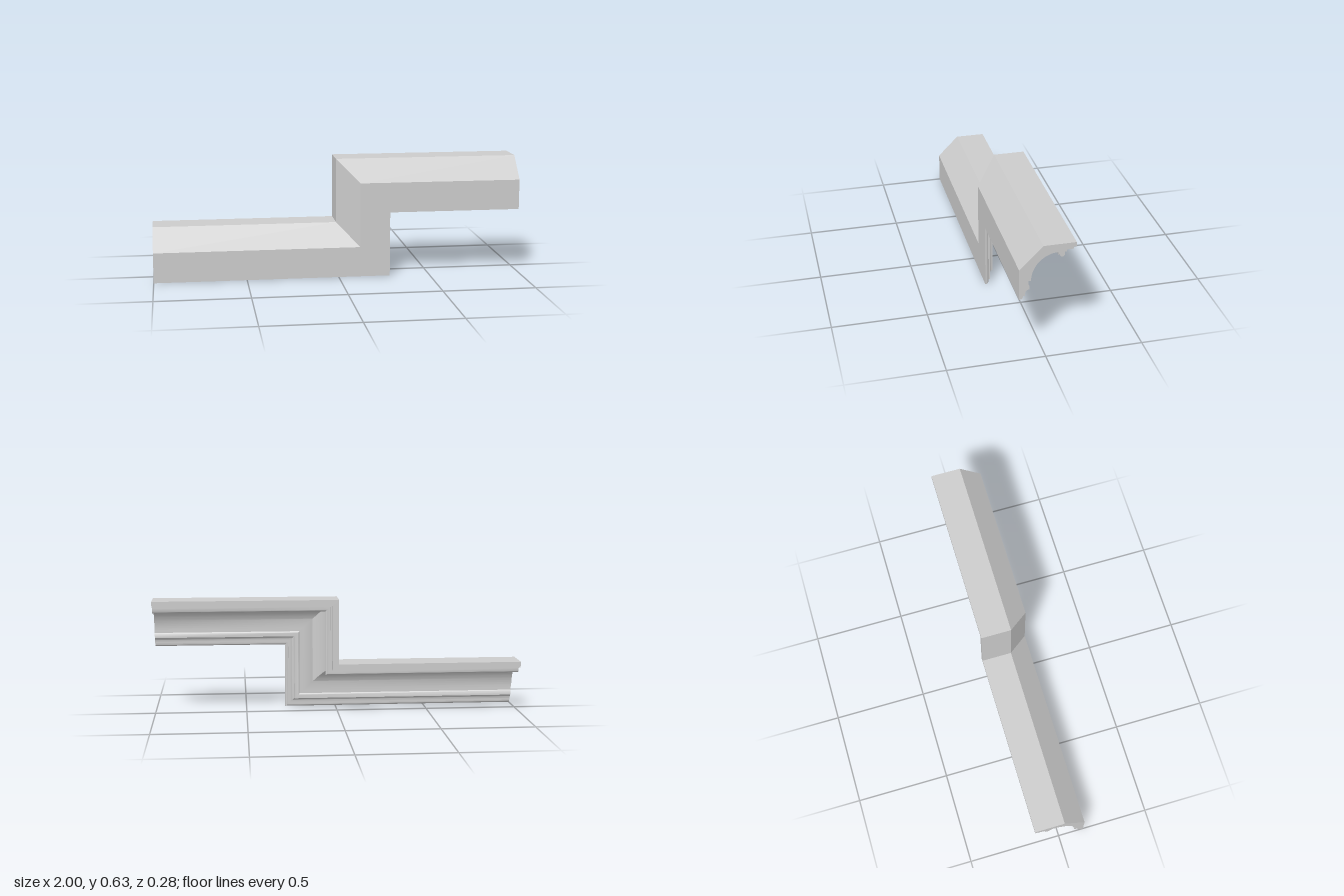
import * as THREE from 'three';
import { toCreasedNormals } from 'three/addons/utils/BufferGeometryUtils.js';

const LOW_TOP = 0.282, HIGH_TOP = 0.634;

// Moulding cross-section: X runs towards the back, Y is measured down from the top edge
function mouldingProfile() {
  const s = new THREE.Shape();
  s.moveTo(0.14, 0);
  s.lineTo(-0.023, 0);
  s.lineTo(-0.14, -0.118);
  s.lineTo(-0.14, -0.282);
  // rounded bottom lip
  s.lineTo(-0.131, -0.281);
  s.quadraticCurveTo(-0.12, -0.279, -0.12, -0.264);
  s.lineTo(-0.11, -0.264);
  // small cove
  s.lineTo(-0.11, -0.254);
  s.quadraticCurveTo(-0.108, -0.23, -0.088, -0.23);
  s.lineTo(-0.088, -0.212);
  s.quadraticCurveTo(-0.089, -0.206, -0.094, -0.202);
  s.lineTo(-0.094, -0.183);
  s.lineTo(-0.081, -0.183);
  // large cove
  s.absellipse(0.05, -0.183, 0.131, 0.14, Math.PI, Math.PI / 2, true, 0);
  s.lineTo(0.05, -0.056);
  // bead
  s.lineTo(0.058, -0.056);
  s.absellipse(0.071, -0.057, 0.013, 0.013, Math.PI, 2 * Math.PI, false, 0);
  // stepped fillets at the back
  s.lineTo(0.084, -0.044);
  s.lineTo(0.093, -0.044);
  s.lineTo(0.093, -0.034);
  s.lineTo(0.127, -0.034);
  s.lineTo(0.127, -0.023);
  s.lineTo(0.14, -0.023);
  s.closePath();
  return s;
}

export function createModel() {
  const group = new THREE.Group();
  group.name = 'steppedMoulding';

  const geo = new THREE.ExtrudeGeometry(mouldingProfile(), {
    depth: 3, steps: 3, curveSegments: 20, bevelEnabled: false,
  });

  // Lay the four stations along the step, with mitred corners at the two bends
  const p = geo.attributes.position;
  for (let i = 0; i < p.count; i++) {
    const d = -p.getY(i);
    const station = Math.round(p.getZ(i));
    const x = [-1, d, d, 1][station];
    const y = (station < 2 ? LOW_TOP : HIGH_TOP) - d;
    p.setXYZ(i, x, y, -p.getX(i));
  }

  const moulding = new THREE.Mesh(
    toCreasedNormals(geo, 0.5),
    new THREE.MeshStandardMaterial({ color: 0xcccccc }),
  );
  moulding.name = 'moulding';
  group.add(moulding);
  return group;
}
